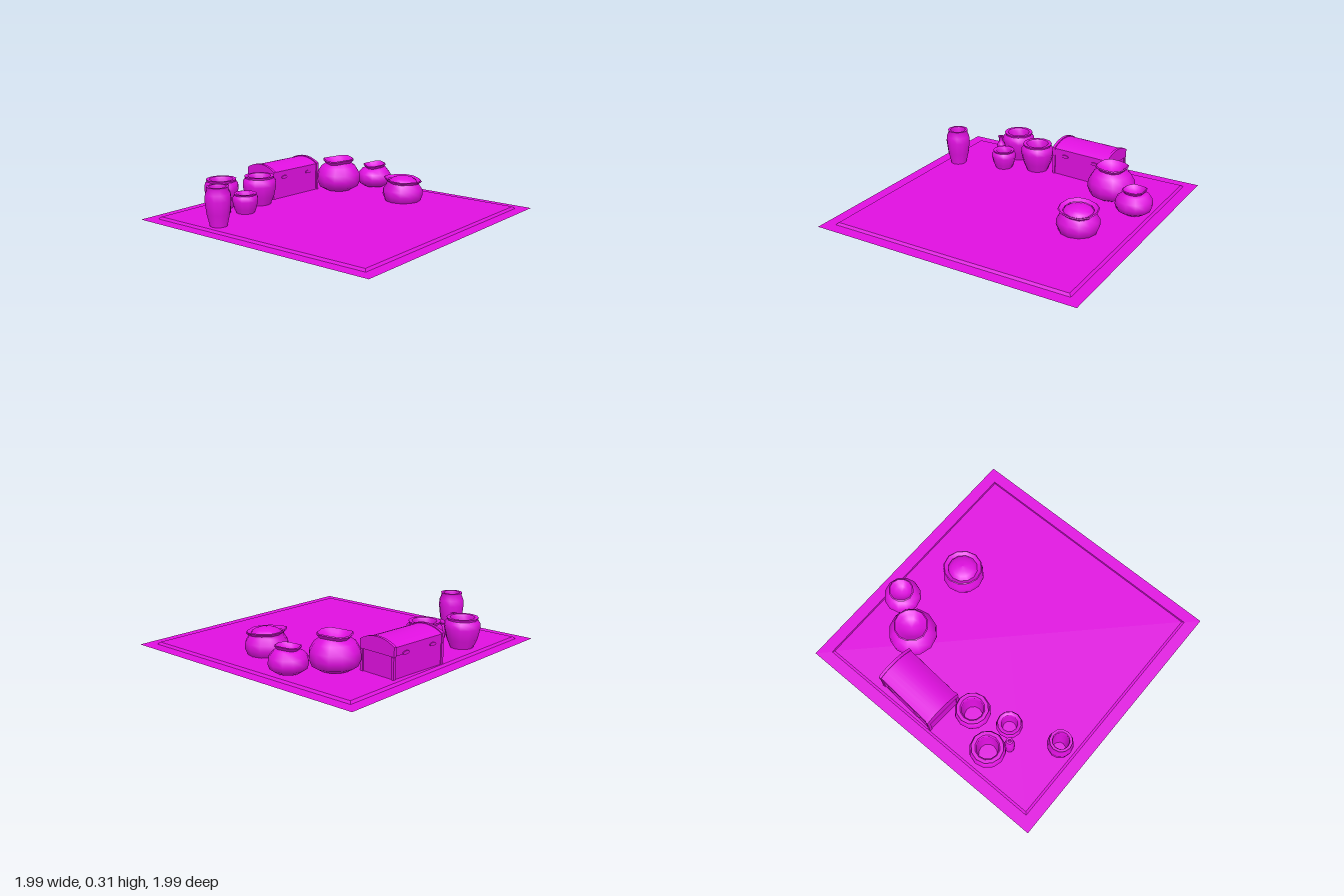
import * as THREE from 'three';
import { toCreasedNormals } from 'three/addons/utils/BufferGeometryUtils.js';

const material = new THREE.MeshStandardMaterial({ color: 0xe010e0, side: THREE.DoubleSide });

function addMesh(parent, name, geometry, x = 0, y = 0, z = 0) {
  const mesh = new THREE.Mesh(geometry, material);
  mesh.name = name;
  mesh.position.set(x, y, z);
  parent.add(mesh);
  return mesh;
}

const lathe = (profile, sides) =>
  new THREE.LatheGeometry(profile.map(([r, y]) => new THREE.Vector2(r, y)), sides);

// Tapered, open jar: outside from foot to lip, then down the inside
const JAR = [[0, 0], [0.56, 0], [0.62, 0.12], [0.86, 0.4], [1, 0.72], [0.97, 0.86],
  [0.84, 0.94], [0.88, 1], [0.68, 1], [0.6, 0.95], [0.62, 0.7], [0.5, 0.25], [0, 0.25]];
const TALL_VASE = [[0, 0], [0.66, 0], [0.64, 0.1], [0.88, 0.4], [1, 0.7], [0.95, 0.84],
  [0.8, 0.95], [0.85, 1], [0.65, 1], [0.6, 0.96], [0.65, 0.7], [0.5, 0.2], [0, 0.2]];
const BOTTLE = [[0, 0], [0.7, 0], [0.95, 0.2], [1, 0.6], [0.75, 0.75], [0.42, 0.83],
  [0.42, 0.92], [0.68, 1], [0.3, 1], [0.25, 0.85], [0, 0.85]];

function addJar(parent, name, profile, x, z, radius, height) {
  const geometry = lathe(profile.map(([r, y]) => [r * radius, y * height]), 12);
  addMesh(parent, name, toCreasedNormals(geometry, 0.9), x, 0, z);
}

// Round sack with a flared, uneven mouth; the rim rises and falls around the axis
function addSack(parent, name, profile, x, z, rimStart, tiltX, tiltZ, wave) {
  const geometry = lathe(profile, 12);
  const p = geometry.attributes.position;
  for (let i = 0; i < p.count; i++) {
    const px = p.getX(i), pz = p.getZ(i), y = p.getY(i);
    if (y < rimStart) continue;
    const r = Math.hypot(px, pz), a = Math.atan2(pz, px);
    p.setY(i, y + px * tiltX + pz * tiltZ + wave * r * Math.cos(3 * a + 0.6));
  }
  geometry.computeVertexNormals();
  addMesh(parent, name, toCreasedNormals(geometry, 0.9), x, 0, z);
}

function createMat() {
  const mat = new THREE.Group();
  mat.name = 'mat';
  mat.rotation.y = 0.024;
  const border = new THREE.PlaneGeometry(1.946, 1.946).rotateX(-Math.PI / 2);
  addMesh(mat, 'matBorder', border, 0, 0.022, 0);
  // Slightly raised middle with sloping edges
  const middle = new THREE.CylinderGeometry(0.875 * Math.SQRT2, 0.89 * Math.SQRT2, 0.015, 4)
    .rotateY(Math.PI / 4).toNonIndexed();
  middle.computeVertexNormals();
  addMesh(mat, 'matCentre', middle, 0, 0.03, 0);
  return mat;
}

// Arched cross-section of the chest, extruded along x and centred
function archSlab(depth, bottom, shoulder, top, length) {
  const h = depth / 2;
  const shape = new THREE.Shape();
  shape.moveTo(-h, bottom);
  shape.lineTo(h, bottom);
  shape.lineTo(h, shoulder);
  shape.quadraticCurveTo(h * 0.55, top, 0, top);
  shape.quadraticCurveTo(-h * 0.55, top, -h, shoulder);
  const geometry = new THREE.ExtrudeGeometry(shape, { depth: length, bevelEnabled: false, curveSegments: 5 });
  geometry.translate(0, 0, -length / 2).rotateY(Math.PI / 2);
  return toCreasedNormals(geometry, 0.6);
}

function createChest() {
  const chest = new THREE.Group();
  chest.name = 'chest';
  chest.position.set(0.18, 0, -0.722);
  chest.rotation.y = -0.045;
  addMesh(chest, 'chestBody', new THREE.BoxGeometry(0.455, 0.185, 0.265), 0, 0.0925, 0);
  addMesh(chest, 'chestLid', archSlab(0.275, 0.185, 0.24, 0.28, 0.455));
  for (const s of [-1, 1]) {
    addMesh(chest, 'lidEndBand', archSlab(0.285, 0.183, 0.245, 0.286, 0.02), s * 0.225, 0, 0);
    for (const t of [-1, 1]) {
      addMesh(chest, 'cornerPost', new THREE.BoxGeometry(0.02, 0.18, 0.02), s * 0.225, 0.09, t * 0.13);
      // Small half-round fittings on the seam, front and back
      const fitting = new THREE.CylinderGeometry(0.03, 0.03, 0.012, 8).rotateX(Math.PI / 2).scale(1, 0.4, 1);
      addMesh(chest, 'seamFitting', fitting, s * 0.125, 0.193, t * 0.139);
    }
  }
  return chest;
}

export function createModel() {
  const model = new THREE.Group();
  model.name = 'marketMat';
  model.add(createMat(), createChest());

  addJar(model, 'tallVase', TALL_VASE, -0.79, -0.39, 0.09, 0.305);
  addJar(model, 'backJar', JAR, -0.45, -0.73, 0.124, 0.245);
  addJar(model, 'middleJar', JAR, -0.2, -0.6, 0.124, 0.245);
  addJar(model, 'smallJar', JAR, -0.44, -0.5, 0.092, 0.175);
  addJar(model, 'bottle', BOTTLE, -0.53, -0.6, 0.036, 0.235);

  // Sacks sitting on the mat, with hollow mouths
  addSack(model, 'largeSack', [[0, 0.04], [0.1, 0.042], [0.15, 0.07], [0.17, 0.12], [0.165, 0.17],
    [0.135, 0.22], [0.095, 0.248], [0.12, 0.274], [0.112, 0.28], [0.085, 0.258], [0.06, 0.235], [0, 0.22]],
  0.505, -0.447, 0.24, 0.03, 0.01, 0.05);
  addSack(model, 'smallSack', [[0, 0.045], [0.08, 0.048], [0.12, 0.075], [0.132, 0.11], [0.125, 0.15],
    [0.095, 0.185], [0.07, 0.195], [0.088, 0.216], [0.08, 0.22], [0.06, 0.2], [0.04, 0.185], [0, 0.178]],
  0.757, -0.29, 0.183, 0.08, 0, 0.05);
  // Wide pot heaped with its contents
  addSack(model, 'widePot', [[0, 0], [0.09, 0], [0.13, 0.035], [0.148, 0.08], [0.145, 0.12],
    [0.12, 0.16], [0.115, 0.172], [0.14, 0.193], [0.133, 0.198], [0.105, 0.183]],
  0.555, 0.13, 0.165, -0.03, -0.08, 0.03);
  const heap = lathe([[0.108, 0.17], [0.098, 0.188], [0.075, 0.204], [0.04, 0.215], [0, 0.22]], 12);
  addMesh(model, 'potContents', heap, 0.555, 0, 0.13);
  return model;
}
